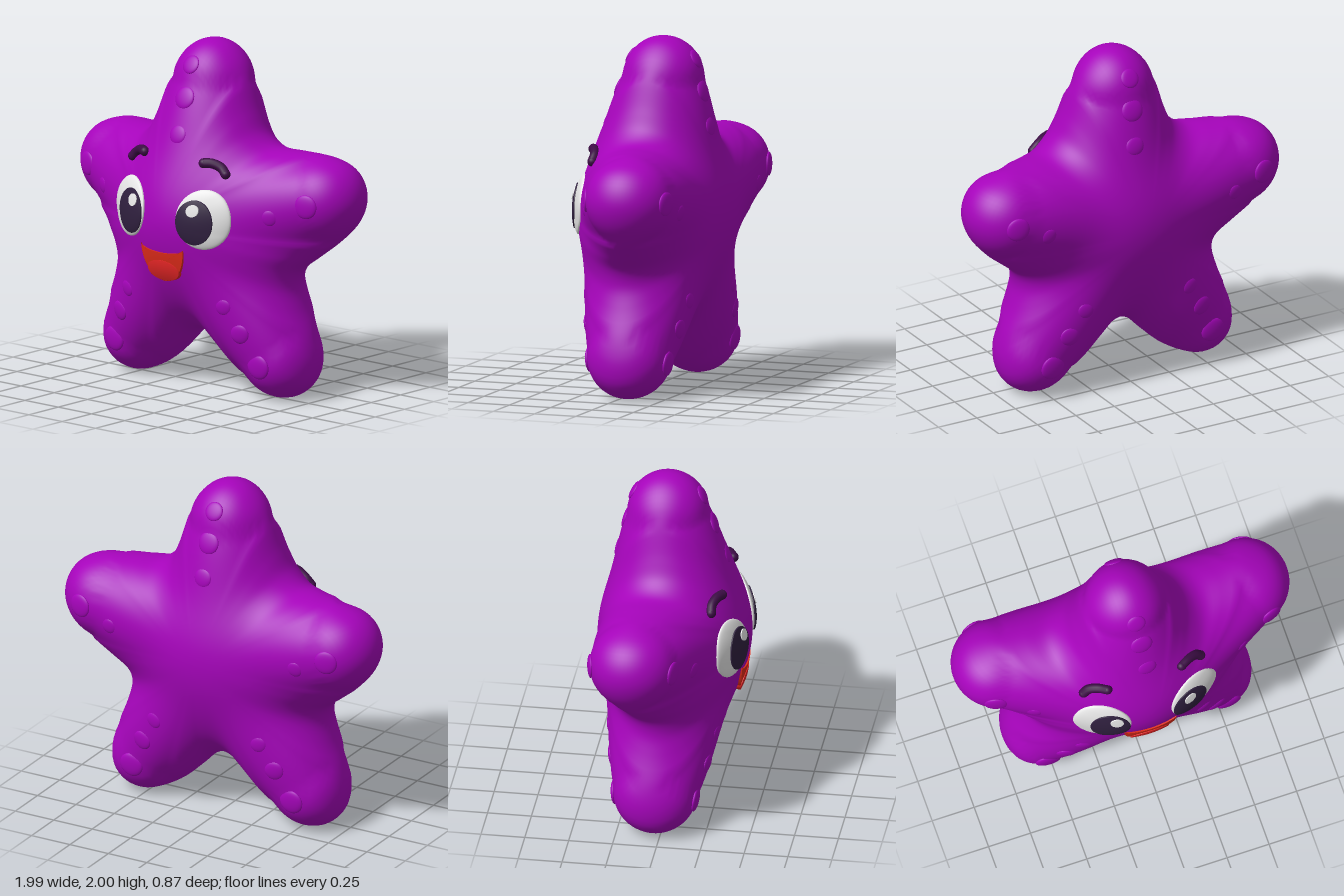
import * as THREE from 'three';
import { mergeVertices } from 'three/addons/utils/BufferGeometryUtils.js';

const mat = (name, color, side = THREE.FrontSide) => {
  const m = new THREE.MeshStandardMaterial({ color, side });
  m.name = name;
  return m;
};
const V = (x, y, z = 0) => new THREE.Vector3(x, y, z);
const CY = 1; // height of the body centre
const N = 240, M = 84; // steps around and from front to back

// Right half of the star outline, from the top tip to the bottom notch
const half = [
  [0, 2], [0.1, 1.973], [0.185, 1.895], [0.24, 1.785], [0.3, 1.61], [0.355, 1.495], [0.44, 1.43], [0.58, 1.42],
  [0.76, 1.41], [0.9, 1.36], [0.97, 1.28], [0.995, 1.17], [0.96, 1.05], [0.86, 0.93], [0.74, 0.83], [0.645, 0.745],
  [0.62, 0.65], [0.65, 0.52], [0.71, 0.36], [0.735, 0.22], [0.71, 0.1], [0.63, 0.025], [0.52, 0.005],
  [0.41, 0.04], [0.3, 0.105], [0.19, 0.205], [0.09, 0.3], [0, 0.33],
];
const outline = new THREE.CatmullRomCurve3([
  ...half.map(([x, y]) => V(x, y - CY)),
  ...half.slice(1, -1).reverse().map(([x, y]) => V(-x, y - CY)),
], true).getPoints(700);

function outlineRadius(a) {
  const dx = Math.cos(a), dy = Math.sin(a);
  for (let i = 0; i + 1 < outline.length; i++) {
    const p = outline[i], q = outline[i + 1];
    const c = dx * p.y - dy * p.x, d = dx * q.y - dy * q.x;
    if (c * d <= 0 && c !== d && dx * p.x + dy * p.y > 0) {
      const t = c / (c - d);
      return Math.hypot(p.x + (q.x - p.x) * t, p.y + (q.y - p.y) * t);
    }
  }
  return 0.7;
}

// Five round tapering arms (tip position, tip radius) and a flat belly blended softly into one field
const arms = [
  [V(0, 0.76, -0.045), 0.23],
  [V(0.75, 0.17, -0.13), 0.25], [V(-0.75, 0.17, -0.13), 0.25],
  [V(0.52, -0.76, -0.04), 0.24], [V(-0.52, -0.76, -0.04), 0.24],
];
const BLEND = 0.052, ROOT = 0.33, BELLY_R = 0.56, BELLY_Z = 0.37;
function field(x, y, z) {
  const belly = (Math.hypot(x / BELLY_R, y / BELLY_R, (z + 0.01) / BELLY_Z) - 1) * BELLY_Z;
  let sum = Math.exp(-belly / BLEND);
  for (const [b, tip] of arms) {
    const t = Math.min(1, Math.max(0, (x * b.x + y * b.y + z * b.z) / b.lengthSq()));
    const d = Math.hypot(x - b.x * t, y - b.y * t, z - b.z * t) - (ROOT + (tip - ROOT) * t ** 3);
    sum += Math.exp(-d / BLEND);
  }
  return -BLEND * Math.log(sum);
}
function solve(f, lo, hi) {
  for (let i = 0; i < 24; i++) {
    const m = (lo + hi) / 2;
    if (f(m) < 0) lo = m; else hi = m;
  }
  return (lo + hi) / 2;
}

// Body: rays from the centre meet the field; each slice is eased onto the outline towards its rim
const fit = [];
const ease = (r, { max, k }) => r * (1 + (k - 1) * (r / max) ** 2);
function bodyGeometry() {
  const pos = [], idx = [];
  for (let i = 0; i < N; i++) {
    const a = (i / N) * Math.PI * 2, slice = [];
    let max = 0;
    for (let j = 0; j <= M; j++) {
      const v = j / M, p = Math.PI * v + 0.25 * Math.sin(2 * Math.PI * v);
      const s = Math.sin(p), c = Math.cos(p);
      const r = solve((k) => field(k * s * Math.cos(a), k * s * Math.sin(a), k * c), 0, 1.6);
      slice.push([r * s, r * c]);
      max = Math.max(max, r * s);
    }
    fit[i] = { max, k: outlineRadius(a) / max };
    for (const [r, z] of slice) {
      const e = ease(r, fit[i]);
      pos.push(e * Math.cos(a), CY + e * Math.sin(a), z);
    }
  }
  for (let i = 0; i < N; i++) for (let j = 0; j < M; j++) {
    const a = i * (M + 1) + j, b = ((i + 1) % N) * (M + 1) + j;
    if (j > 0) idx.push(a, b + 1, b);
    if (j < M - 1) idx.push(a, a + 1, b + 1);
  }
  return finish(pos, idx);
}
function finish(pos, idx) {
  let g = new THREE.BufferGeometry();
  g.setAttribute('position', new THREE.Float32BufferAttribute(pos, 3));
  g.setIndex(idx);
  g = mergeVertices(g, 1e-5);
  g.computeVertexNormals();
  return g;
}

// Depth of the body surface at x, y (side 1 is front, -1 is back)
function surfaceZ(x, y, side = 1) {
  const a = Math.atan2(y - CY, x), u = ((a / (Math.PI * 2) + 1) % 1) * N;
  const i = Math.floor(u) % N, f = fit[i], g = fit[(i + 1) % N], w = u - Math.floor(u);
  const mix = { max: f.max + (g.max - f.max) * w, k: f.k + (g.k - f.k) * w };
  const rho = Math.hypot(x, y - CY), r = solve((q) => ease(q, mix) - rho, 0, mix.max);
  return solve((z) => field(r * Math.cos(a), r * Math.sin(a), z), -0.08, side * 0.7);
}

// Patch that follows a surface; its rim tucks in underneath
function patch(cx, cy, edge, zAt) {
  const R = 14, S = 56, pos = [], idx = [];
  for (let r = 0; r <= R + 1; r++) for (let i = 0; i < S; i++) {
    const s = Math.sin((Math.min(r, R) / R) * Math.PI / 2), [ex, ey] = edge((i / S) * Math.PI * 2);
    const x = cx + ex * s, y = cy + ey * s;
    pos.push(x, y, zAt(x, y) - (r > R ? 0.03 : 0));
  }
  for (let r = 0; r <= R; r++) for (let i = 0; i < S; i++) {
    const a = r * S + i, b = r * S + ((i + 1) % S);
    idx.push(a, a + S, b + S);
    if (r > 0) idx.push(a, b + S, b);
  }
  return finish(pos, idx);
}
const ellipse = (rx, ry) => (a) => [rx * Math.cos(a), ry * Math.sin(a)];

export function createModel() {
  const group = new THREE.Group();
  const purple = mat('purple skin', 0xa604bb);
  const white = mat('eye white', 0xe8e8e8, THREE.DoubleSide);
  const dark = mat('pupil dark violet', 0x30203f, THREE.DoubleSide);
  const browMat = mat('brow plum', 0x3c0d45);
  const red = mat('mouth red', 0xe22c1a, THREE.DoubleSide);
  const tongueRed = mat('tongue red', 0xe82626, THREE.DoubleSide);
  const add = (name, geo, m) => {
    const mesh = new THREE.Mesh(geo, m);
    mesh.name = name;
    group.add(mesh);
    return mesh;
  };

  add('body', bodyGeometry(), purple);

  // Low round bumps along every arm, front and back
  const bump = (x, y, r, side) => {
    const e = 0.01, z = surfaceZ(x, y, side);
    const n = V(-(surfaceZ(x + e, y, side) - surfaceZ(x - e, y, side)) / (2 * e),
      -(surfaceZ(x, y + e, side) - surfaceZ(x, y - e, side)) / (2 * e), 1).multiplyScalar(side).normalize();
    const b = add('bump', new THREE.SphereGeometry(r, 24, 14), purple);
    b.scale.z = 0.26;
    b.quaternion.setFromUnitVectors(V(0, 0, 1), n);
    b.position.set(x, y, z).addScaledVector(n, -0.006);
  };
  for (const side of [1, -1]) {
    const inset = side < 0 ? 0.02 : 0; // back bumps sit slightly closer to the middle
    for (const [x, y, r] of [[0, 1.88, 0.055], [0.01, 1.7, 0.065], [0.02, 1.5, 0.055]]) bump(x, y, r, side);
    for (const m of [1, -1]) {
      for (const [x, y, r] of [[0.82, 1.17, 0.068], [0.625, 1.09, 0.046], [0.54, 0.215, 0.072], [0.45, 0.4, 0.057], [0.36, 0.55, 0.048]])
        bump(m * (x - inset), y, r, side);
    }
  }

  // Eyes: shallow domed whites with pupils and highlights, and brows above
  for (const m of [1, -1]) {
    const ex = 0.273 * m, ey = 1.055;
    const eyeZ = (x, y) => {
      const q = ((x - ex) / 0.153) ** 2 + ((y - ey) / 0.17) ** 2;
      return surfaceZ(x, y) + 0.006 + 0.026 * Math.sqrt(Math.max(0, 1 - q));
    };
    add('eyeWhite', patch(ex, ey, ellipse(0.153, 0.17), eyeZ), white);
    add('pupil', patch(0.237 * m, 1.04, ellipse(0.108, 0.128), (x, y) => eyeZ(x, y) + 0.007), dark);
    add('eyeHighlight', patch(0.22 * m + 0.015, 1.11, ellipse(0.036, 0.034), (x, y) => eyeZ(x, y) + 0.013), white);

    const path = [[0.348, 1.313], [0.315, 1.345], [0.265, 1.366], [0.22, 1.366]]
      .map(([x, y]) => V(x * m, y, surfaceZ(x * m, y) + 0.01));
    add('brow', new THREE.TubeGeometry(new THREE.CatmullRomCurve3(path), 24, 0.028, 12), browMat);
    for (const p of [path[0], path[3]]) add('browEnd', new THREE.SphereGeometry(0.028, 16, 12), browMat).position.copy(p);
  }

  // Open smiling mouth with a tongue, tilted slightly upwards at the lower lip
  const mouthEdge = (a) => {
    const s = Math.sin(a);
    return [0.155 * Math.cos(a), 0.095 + (s < 0 ? 0.202 : -0.03) * s];
  };
  const mouthZ = (x, y) => surfaceZ(x, y) + 0.006 + 0.09 * Math.max(0, 0.865 - y);
  add('mouth', patch(0, 0.77, mouthEdge, mouthZ), red);
  add('tongue', patch(0, 0.728, ellipse(0.115, 0.061), (x, y) => {
    const q = (x / 0.115) ** 2 + ((y - 0.728) / 0.061) ** 2;
    return mouthZ(x, y) + 0.004 + 0.006 * Math.max(0, 1 - q);
  }), tongueRed);

  return group;
}
